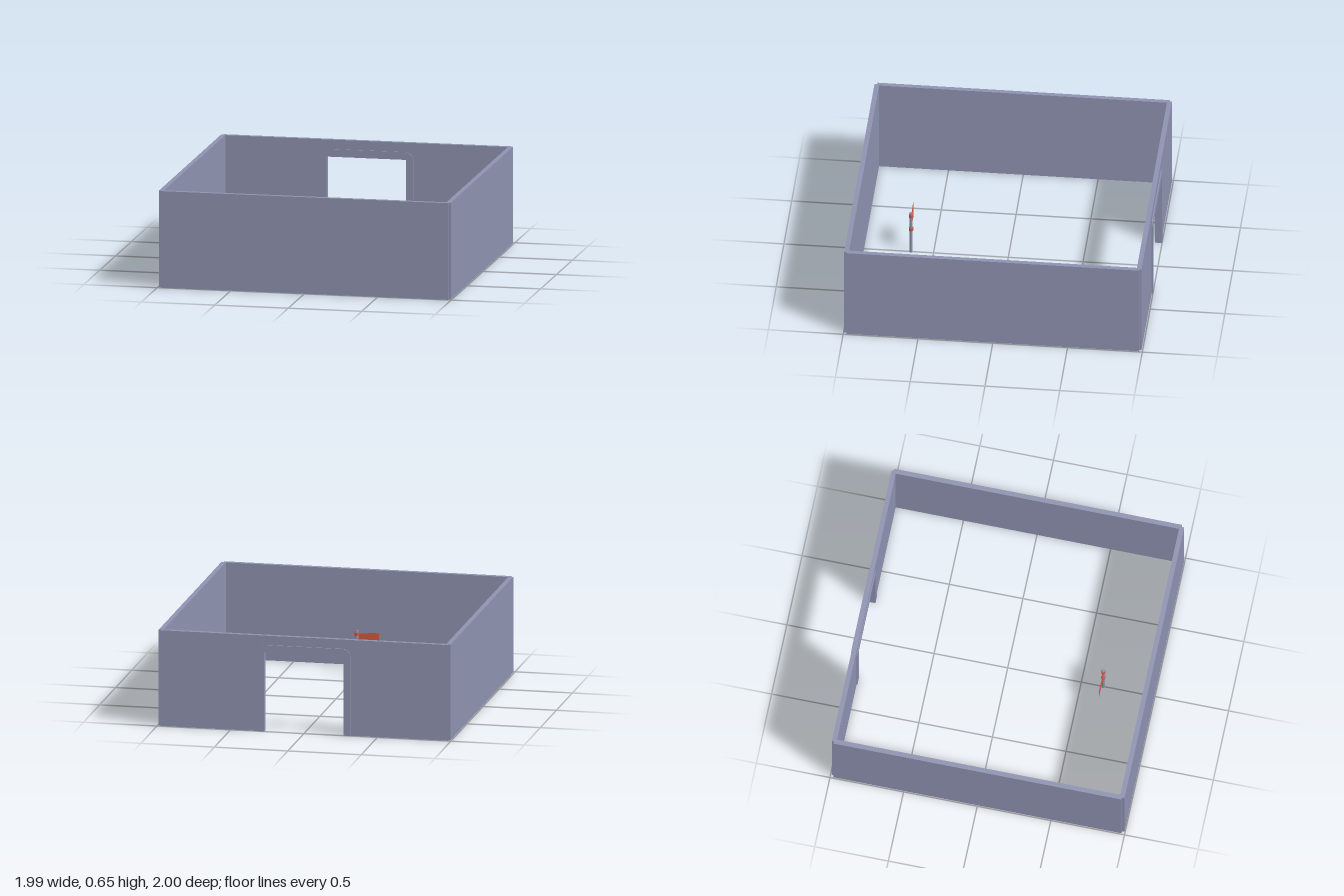
import * as THREE from 'three';

const wallMat = new THREE.MeshStandardMaterial({ color: 0x8f93b1 });
wallMat.name = 'slate blue';
const redMat = new THREE.MeshStandardMaterial({ color: 0xd5583f, side: THREE.DoubleSide });
redMat.name = 'flag red';

const H = 0.655;      // wall height
const T = 0.032;      // wall thickness
const HALF = 0.978;   // half length of each wall

function add(parent, name, geometry, material, x = 0, y = 0, z = 0) {
  const mesh = new THREE.Mesh(geometry, material);
  mesh.name = name;
  mesh.position.set(x, y, z);
  parent.add(mesh);
  return mesh;
}

// Arch-like outline: two legs joined by a lintel, with optional rounded outer corners
function portalShape(outerX, outerY, innerX, innerY, r) {
  const s = new THREE.Shape();
  s.moveTo(-innerX, 0);
  s.lineTo(-innerX, innerY);
  s.lineTo(innerX, innerY);
  s.lineTo(innerX, 0);
  s.lineTo(outerX, 0);
  s.lineTo(outerX, outerY - r);
  if (r > 0) s.absarc(outerX - r, outerY - r, r, 0, Math.PI / 2, false);
  s.lineTo(-outerX + r, outerY);
  if (r > 0) s.absarc(-outerX + r, outerY - r, r, Math.PI / 2, Math.PI, false);
  s.lineTo(-outerX, 0);
  return s;
}

const extrude = (shape, depth) =>
  new THREE.ExtrudeGeometry(shape, { depth, bevelEnabled: false, curveSegments: 8 });

export function createModel() {
  const model = new THREE.Group();
  model.name = 'walledYard';

  // Plain walls; the outer corners stay notched
  add(model, 'frontWall', new THREE.BoxGeometry(HALF * 2, H, T), wallMat, 0, H / 2, 0.98);
  for (const side of [-1, 1]) {
    add(model, side > 0 ? 'leftWall' : 'rightWall',
      new THREE.BoxGeometry(T, H, HALF * 2), wallMat, side * 0.977, H / 2, 0);
  }

  // Back wall with doorway, and the frame standing slightly proud on both faces
  add(model, 'backWall', extrude(portalShape(HALF, H, 0.29, 0.56, 0), T), wallMat, 0, 0, -0.992);
  add(model, 'doorFrame', extrude(portalShape(0.318, 0.592, 0.27, 0.54, 0.055), 0.046), wallMat, 0, 0, -1);

  // Flag on its pole
  const flag = new THREE.Group();
  flag.name = 'flag';
  flag.position.set(0, 0, 0.65);
  model.add(flag);
  add(flag, 'pole', new THREE.CylinderGeometry(0.011, 0.011, 0.315, 16), wallMat, 0, 0.1575, 0);
  for (const y of [0.29, 0.185]) {
    add(flag, 'flagRing', new THREE.CylinderGeometry(0.015, 0.015, 0.022, 16), redMat, 0, y, 0);
  }

  // Flat cloth with gently waving top and bottom edges
  const cloth = new THREE.Shape();
  cloth.moveTo(0, 0.172);
  cloth.bezierCurveTo(-0.05, 0.155, -0.09, 0.19, -0.152, 0.174);
  cloth.lineTo(-0.152, 0.298);
  cloth.bezierCurveTo(-0.09, 0.315, -0.05, 0.28, 0, 0.3);
  add(flag, 'cloth', new THREE.ShapeGeometry(cloth, 10), redMat);

  return model;
}
